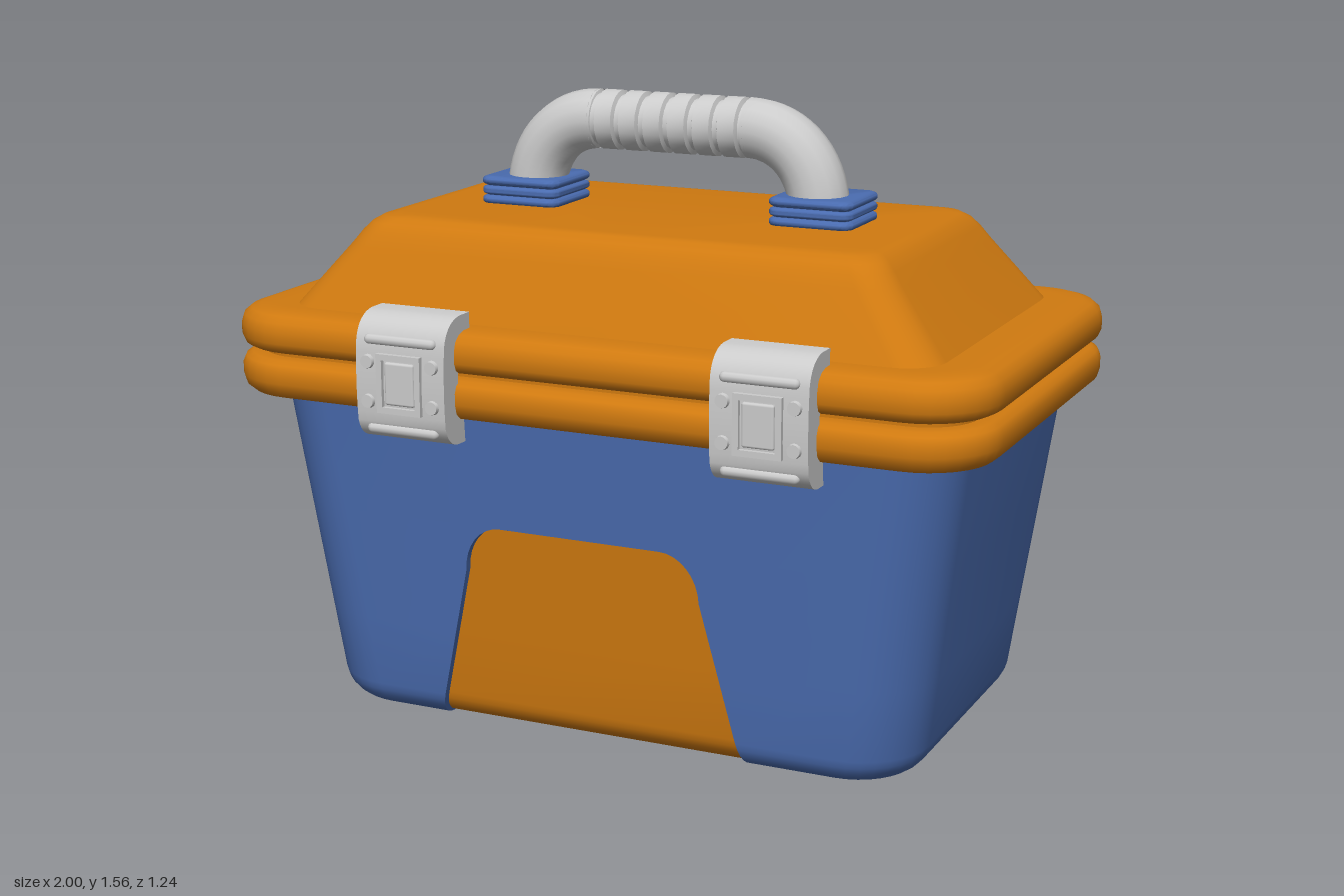
import * as THREE from 'three';
import { toCreasedNormals } from 'three/addons/utils/BufferGeometryUtils.js';
import { RoundedBoxGeometry } from 'three/addons/geometries/RoundedBoxGeometry.js';

const blue = new THREE.MeshStandardMaterial({ color: 0x4a6cb0 });
const blueThin = new THREE.MeshStandardMaterial({ color: 0x4a6cb0, side: THREE.DoubleSide });
const orange = new THREE.MeshStandardMaterial({ color: 0xd07a10 });
const grey = new THREE.MeshStandardMaterial({ color: 0xcccccc });

function add(parent, name, geometry, material, x = 0, y = 0, z = 0) {
  const mesh = new THREE.Mesh(geometry, material);
  mesh.name = name;
  mesh.position.set(x, y, z);
  parent.add(mesh);
  return mesh;
}

// Rounded rectangle at height y, starting and ending at the front middle;
// a gap half-width leaves an opening there.
function ring(y, hx, hz, r, cx = 0, cz = 0, gap = 0, gapX = cx) {
  const pts = [[gapX + gap, y, cz + hz]];
  const corners = [[1, 1], [1, -1], [-1, -1], [-1, 1]];
  corners.forEach(([sx, sz], k) => {
    for (let i = 0; i <= 8; i++) {
      const a = Math.PI / 2 * (1 - k - i / 8);
      pts.push([cx + sx * (hx - r) + r * Math.cos(a), y, cz + sz * (hz - r) + r * Math.sin(a)]);
    }
  });
  pts.push([gapX - gap, y, cz + hz]);
  return pts;
}

// Skin over rows of points running upward, with optional end caps
function loft(rows, caps = true, crease = 0.7) {
  const n = rows[0].length, pos = rows.flat(2), index = [];
  for (let i = 0; i < rows.length - 1; i++) {
    for (let j = 0; j < n - 1; j++) {
      const a = i * n + j, d = a + n;
      index.push(a, a + 1, d + 1, a, d + 1, d);
    }
  }
  if (caps) {
    const top = (rows.length - 1) * n;
    for (let j = 1; j < n - 1; j++) {
      index.push(0, j + 1, j);
      index.push(top, top + j, top + j + 1);
    }
  }
  const g = new THREE.BufferGeometry();
  g.setAttribute('position', new THREE.Float32BufferAttribute(pos, 3));
  g.setIndex(index);
  return toCreasedNormals(g, crease);
}

const CZ = -0.03;

// Tapered tub with an arched recess at the front that holds a panel
function buildBody(root) {
  const R = 0.07, gapX = -0.015, depth = 0.02;
  const levels = [];
  for (let i = 0; i <= 6; i++) {
    const a = i / 6 * Math.PI / 2;
    levels.push([R * (1 - Math.cos(a)), R * (1 - Math.sin(a))]);
  }
  levels.push([0.25, 0]);
  for (let i = 0; i <= 8; i++) levels.push([0.42 + 0.12 * Math.sin(i / 8 * Math.PI / 2), 0]);

  const archWidth = y => {
    const t = Math.min(1, Math.max(0, (y - 0.42) / 0.12));
    return 0.415 - 0.24 * Math.min(y, 0.42) - 0.1 * (1 - Math.sqrt(1 - t * t));
  };
  const halfX = y => 0.788 + 0.137 * y;
  const halfZ = y => 0.479 + 0.081 * y;
  const wall = (y, inset, gap) =>
    ring(y, halfX(y) - inset, halfZ(y) - inset, 0.18 - inset, 0.015, CZ, gap, gapX);

  const rows = levels.map(([y, inset]) => wall(y, inset, archWidth(y)));
  rows.push(wall(0.54, 0, 0), wall(0.83, 0, 0));
  add(root, 'body', loft(rows), blue);

  const edge = ([y, inset], side, back) =>
    [gapX + side * archWidth(y), y, CZ + halfZ(y) - inset - back];
  add(root, 'frontPanel',
    loft(levels.map(l => [edge(l, -1, depth), edge(l, 1, depth)]), false), orange);

  const arch = back => [
    ...levels.map(l => edge(l, -1, back)),
    ...levels.slice().reverse().map(l => edge(l, 1, back)),
  ];
  add(root, 'panelRecessEdge', loft([arch(depth), arch(0)], false), blueThin);
}

// Two bulging rims with a groove between, and the sloped lid
function buildLid(root) {
  const rim = ([y, inset]) => ring(y, 1 - inset, 0.591 - inset, 0.19 - inset, 0, -0.033);
  const lower = [[0.815, 0.12], [0.815, 0.05], [0.821, 0.025], [0.836, 0.007], [0.86, 0],
    [0.888, 0], [0.906, 0.008], [0.915, 0.025], [0.917, 0.045], [0.917, 0.06]];
  const upper = [[0.917, 0.06], [0.932, 0.06], [0.932, 0.045], [0.934, 0.025], [0.943, 0.008], [0.962, 0],
    [0.99, 0], [1.013, 0.007], [1.028, 0.025], [1.035, 0.05], [1.036, 0.1]];
  add(root, 'lowerRim', loft(lower.map(rim)), orange);
  const slope = [[1.036, 0.855, 0.48, 0.1], [1.19, 0.727, 0.412, 0.085], [1.222, 0.703, 0.396, 0.08],
    [1.244, 0.683, 0.379, 0.075], [1.258, 0.66, 0.358, 0.07], [1.262, 0.63, 0.33, 0.06]];
  add(root, 'lid', loft([...upper.map(rim), ...slope.map(([y, x, z, r]) => ring(y, x, z, r, 0, CZ))]), orange);
}

// Hooked clasp with raised frame, bars and rivets
function buildLatch(x) {
  const latch = new THREE.Group();
  latch.name = 'latch';
  const s = new THREE.Shape();
  s.moveTo(0.48, 1.02);
  s.lineTo(0.48, 1.075);
  s.lineTo(0.53, 1.075);
  s.quadraticCurveTo(0.592, 1.068, 0.605, 1.01);
  s.quadraticCurveTo(0.615, 0.9, 0.605, 0.81);
  s.quadraticCurveTo(0.59, 0.762, 0.54, 0.76);
  s.lineTo(0.5, 0.76);
  s.lineTo(0.5, 0.82);
  s.lineTo(0.54, 0.84);
  s.lineTo(0.54, 1.01);
  s.closePath();
  const plate = new THREE.ExtrudeGeometry(s, { depth: 0.242, bevelEnabled: false, curveSegments: 8 });
  plate.translate(0, 0, -0.121).rotateY(-Math.PI / 2);
  add(latch, 'latchPlate', toCreasedNormals(plate, 0.6), grey);

  const frame = new THREE.Shape();
  frame.moveTo(-0.06, -0.073).lineTo(0.06, -0.073).lineTo(0.06, 0.073).lineTo(-0.06, 0.073).closePath();
  const hole = new THREE.Path();
  hole.moveTo(-0.045, -0.058).lineTo(-0.045, 0.058).lineTo(0.045, 0.058).lineTo(0.045, -0.058).closePath();
  frame.holes.push(hole);
  const frameGeo = new THREE.ExtrudeGeometry(frame, { depth: 0.016, bevelEnabled: false });
  add(latch, 'latchFrame', frameGeo, grey, 0, 0.91, 0.604);
  add(latch, 'latchButton', new RoundedBoxGeometry(0.08, 0.106, 0.02, 2, 0.006), grey, 0, 0.91, 0.606);

  for (const y of [1.015, 0.793]) {
    const bar = new THREE.CapsuleGeometry(0.013, 0.17, 4, 10).rotateZ(Math.PI / 2);
    add(latch, 'latchBar', bar, grey, 0, y, y > 0.9 ? 0.603 : 0.597);
  }
  for (const y of [0.96, 0.862]) {
    for (const side of [-1, 1]) {
      const rivet = new THREE.CylinderGeometry(0.016, 0.02, 0.02, 14).rotateX(Math.PI / 2);
      add(latch, 'latchRivet', rivet, grey, side * 0.088, y, 0.608);
    }
  }
  latch.position.x = x;
  return latch;
}

// Bent handle with a ribbed grip on two ridged feet
function buildHandle(root) {
  const handle = new THREE.Group();
  handle.name = 'handle';
  const top = 1.483, r = 0.076, k = 0.11;
  for (const side of [-1, 1]) {
    const bend = new THREE.CubicBezierCurve3(
      new THREE.Vector3(side * 0.39, 1.28, 0), new THREE.Vector3(side * 0.39, 1.28 + k, 0),
      new THREE.Vector3(side * (0.21 + k), top, 0), new THREE.Vector3(side * 0.205, top, 0));
    add(handle, 'handleBend', new THREE.TubeGeometry(bend, 16, r, 16), grey);

    const layers = [];
    for (let i = 0; i < 3; i++) {
      const y = 1.258 + i * 0.0245;
      for (const [dy, inset] of [[0, 0.012], [0.004, 0.003], [0.008, 0], [0.016, 0], [0.02, 0.003], [0.0235, 0.012]]) {
        layers.push(ring(y + dy, 0.11 - inset, 0.11 - inset, 0.032 - inset));
      }
    }
    add(handle, 'handleFoot', loft(layers), blue, side * 0.397, 0, -0.008);
  }
  const profile = [new THREE.Vector2(r, -0.21)];
  for (let i = -3; i <= 3; i++) {
    const x = i * 0.067;
    for (const [dx, dr] of [[-0.011, 0], [-0.006, 0.011], [0.006, 0.011], [0.011, 0]]) {
      profile.push(new THREE.Vector2(r - dr, x + dx));
    }
  }
  profile.push(new THREE.Vector2(r, 0.213));
  const grip = new THREE.LatheGeometry(profile, 20).rotateZ(-Math.PI / 2);
  add(handle, 'handleGrip', toCreasedNormals(grip, 0.6), grey, 0, top, 0);
  handle.position.z = -0.04;
  root.add(handle);
}

export function createModel() {
  const root = new THREE.Group();
  root.name = 'toolbox';
  buildBody(root);
  buildLid(root);
  buildHandle(root);
  for (const x of [-0.43, 0.5]) root.add(buildLatch(x));
  return root;
}
